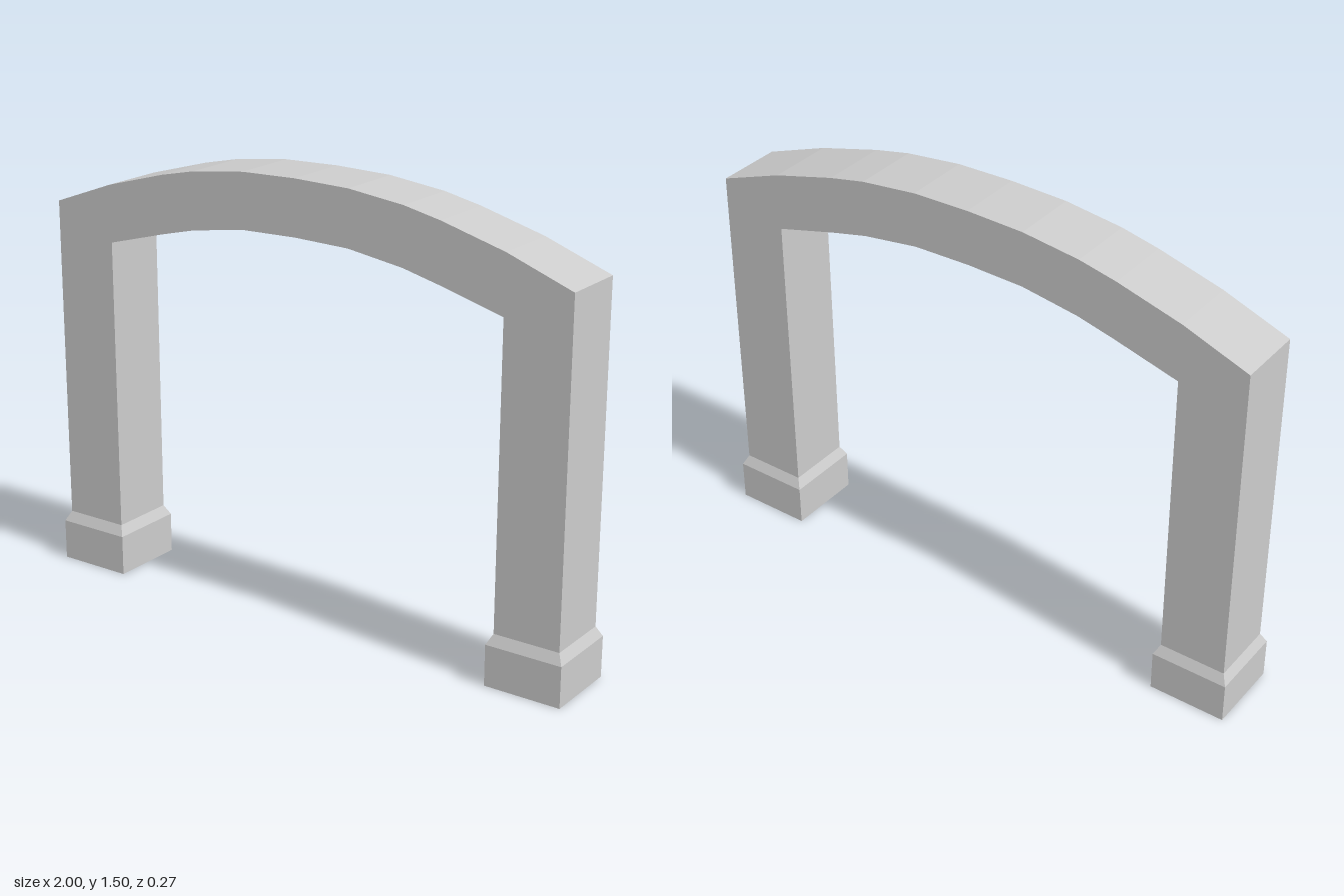
import * as THREE from 'three';

const SHAFT = 0.23, BASE = 0.266, LEG_X = 0.868;
const BASE_H = 0.14, BEVEL_TOP = 0.175;

// half profiles of the arch, from the crown outwards
const OUTER = [[0, 1.505], [0.2, 1.5], [0.4, 1.476], [0.53, 1.448], [0.755, 1.386], [0.983, 1.302]];
const INNER = [[0, 1.318], [0.2, 1.313], [0.4, 1.283], [0.53, 1.251], [0.753, 1.19]];

// mirrors a half profile into a full run from -x to +x
const mirrorRun = (half) => [
  ...half.slice(1).reverse().map(([x, y]) => [-x, y]),
  ...half,
];

export function createModel() {
  const model = new THREE.Group();
  model.name = 'archway';
  const material = new THREE.MeshStandardMaterial({ color: 0xcccccc, flatShading: true });

  const add = (parent, name, geometry, x = 0, y = 0, z = 0) => {
    const mesh = new THREE.Mesh(geometry, material);
    mesh.name = name;
    mesh.position.set(x, y, z);
    parent.add(mesh);
  };

  // posts and curved lintel as one continuous frame
  const outline = [
    [-0.983, BEVEL_TOP], ...mirrorRun(OUTER), [0.983, BEVEL_TOP],
    [0.753, BEVEL_TOP], ...mirrorRun(INNER).reverse(), [-0.753, BEVEL_TOP],
  ].map(([x, y]) => new THREE.Vector2(x, y));
  const frame = new THREE.ExtrudeGeometry(new THREE.Shape(outline), { depth: SHAFT, bevelEnabled: false });
  add(model, 'archFrame', frame, 0, 0, -SHAFT / 2);

  // square plinth with a sloped shoulder under each post
  for (const side of [-1, 1]) {
    const plinth = new THREE.Group();
    plinth.name = side > 0 ? 'leftPlinth' : 'rightPlinth';
    plinth.position.x = side * LEG_X;
    const profile = [[0, 0], [BASE, 0], [BASE, BASE_H], [SHAFT, BEVEL_TOP]]
      .map(([width, y]) => new THREE.Vector2(width * Math.SQRT1_2, y));
    const geometry = new THREE.LatheGeometry(profile, 4).rotateY(Math.PI / 4);
    add(plinth, 'plinthBlock', geometry);
    model.add(plinth);
  }

  return model;
}
